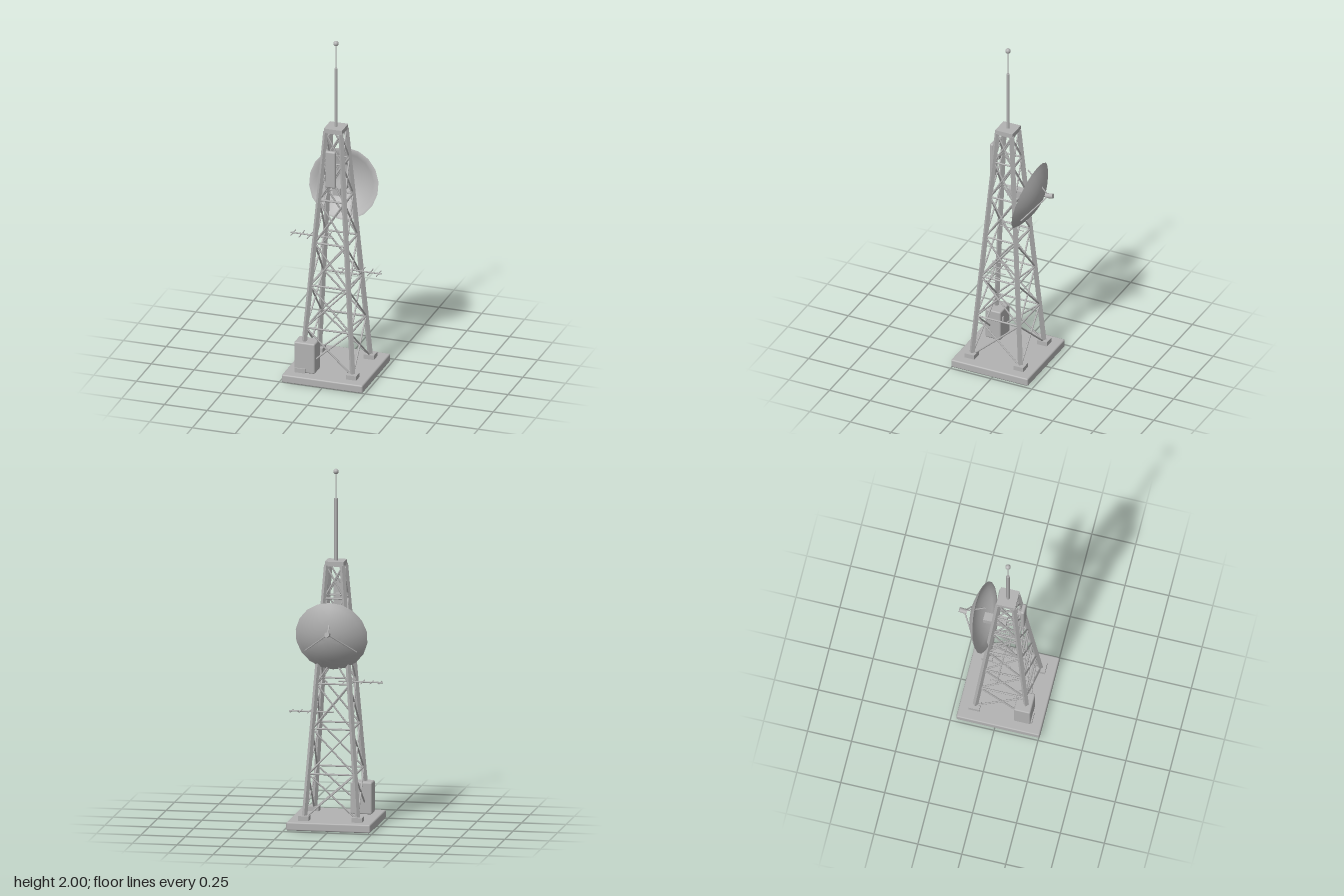
import * as THREE from 'three';
import { toCreasedNormals } from 'three/addons/utils/BufferGeometryUtils.js';
import { RoundedBoxGeometry } from 'three/addons/geometries/RoundedBoxGeometry.js';

const steel = new THREE.MeshStandardMaterial({ color: 0xb2b2b2 });
steel.name = 'grey steel';
const UP = new THREE.Vector3(0, 1, 0);

function add(parent, name, geometry, x = 0, y = 0, z = 0) {
  const mesh = new THREE.Mesh(geometry, steel);
  mesh.name = name;
  mesh.position.set(x, y, z);
  parent.add(mesh);
  return mesh;
}

// Straight bar between two points
function bar(parent, name, a, b, radius, sides = 6) {
  const from = new THREE.Vector3(...a);
  const dir = new THREE.Vector3(...b).sub(from);
  const length = dir.length();
  let geometry = new THREE.CylinderGeometry(radius, radius, length, sides);
  if (sides < 6) geometry = toCreasedNormals(geometry, 0.5);
  const mesh = add(parent, name, geometry);
  mesh.position.copy(from).addScaledVector(dir, 0.5);
  mesh.quaternion.setFromUnitVectors(UP, dir.normalize());
  return mesh;
}

export function createModel() {
  const model = new THREE.Group();
  model.name = 'radioTower';

  // Everything on the tower axis is placed relative to this group
  const tower = new THREE.Group();
  tower.name = 'tower';
  tower.position.z = 0.018;
  model.add(tower);

  add(tower, 'baseSlab', new RoundedBoxGeometry(0.474, 0.047, 0.474, 1, 0.008), 0, 0.0235, 0);

  // Tapering legs on square feet
  const bottom = 0.05, top = 1.465;
  const half = (y) => 0.15 - 0.106 * (y - bottom) / (top - bottom);
  const corners = [[1, 1], [1, -1], [-1, -1], [-1, 1]];
  const at = ([sx, sz], y) => [sx * half(y), y, sz * half(y)];
  for (const c of corners) {
    bar(tower, 'leg', at(c, bottom), at(c, top), 0.0155, 4);
    add(tower, 'foot', new THREE.BoxGeometry(0.06, 0.026, 0.06), c[0] * 0.15, 0.06, c[1] * 0.15);
  }

  // Horizontal rings and crossed braces on each face
  const levels = [0.055, 0.304, 0.555, 0.806, 1.06, 1.28, 1.46];
  for (let i = 0; i < levels.length - 1; i++) {
    const lo = levels[i], hi = levels[i + 1];
    corners.forEach((c, k) => {
      const d = corners[(k + 1) % 4];
      bar(tower, 'brace', at(c, lo), at(d, hi), 0.005);
      bar(tower, 'brace', at(d, lo), at(c, hi), 0.005);
      if (i > 0) bar(tower, 'ringBar', at(c, lo), at(d, lo), 0.0055);
    });
  }

  // Cap and mast
  add(tower, 'topPlate', new THREE.BoxGeometry(0.106, 0.027, 0.106), 0, 1.472, 0);
  bar(tower, 'mast', [0, 1.48, 0], [0, 1.835, 0], 0.01, 8);
  bar(tower, 'whip', [0, 1.83, 0], [0, 1.98, 0], 0.004, 6);
  add(tower, 'mastBall', new THREE.SphereGeometry(0.015, 14, 10), 0, 1.985, 0);

  // Two comb aerials, one on each side
  for (const [side, y] of [[-1, 0.806], [1, 0.63]]) {
    const aerial = new THREE.Group();
    aerial.name = side > 0 ? 'leftAerial' : 'rightAerial';
    tower.add(aerial);
    bar(aerial, 'boom', [side * 0.015, y, 0], [side * 0.264, y, 0], 0.0045);
    for (let i = 0; i < 5; i++) {
      const x = side * (0.05 + 0.05 * i), h = 0.073 - 0.008 * i;
      bar(aerial, 'element', [x, y, -h], [x, y, h], 0.003);
    }
  }

  // Equipment cabinet with a small knob on its rear face
  add(model, 'cabinet', new RoundedBoxGeometry(0.122, 0.18, 0.095, 1, 0.008), -0.126, 0.136, 0.143);
  add(model, 'cabinetKnob', new THREE.BoxGeometry(0.012, 0.024, 0.012), -0.09, 0.177, 0.093);

  // Flat panel antenna on the front face
  add(model, 'panelAntenna', new RoundedBoxGeometry(0.06, 0.22, 0.023, 2, 0.009), 0, 1.26, 0.106);
  add(model, 'panelBracket', new THREE.BoxGeometry(0.024, 0.02, 0.035), 0, 1.28, 0.085);

  // Dish: thick bowl tilted back, hollow side to the front
  const depth = 0.072, radius = 0.203, profile = [];
  for (let i = 0; i <= 8; i++) {
    const t = i / 8;
    profile.push(new THREE.Vector2(radius * t, depth * (t * t - 1)));
  }
  for (let i = 8; i >= 0; i--) {
    const t = i / 8;
    profile.push(new THREE.Vector2(0.191 * t, depth * (t * t - 1) + 0.008 * (1 - t)));
  }
  const bowl = add(model, 'dish', toCreasedNormals(new THREE.LatheGeometry(profile, 18), 0.6), 0, 1.083, -0.114);
  bowl.rotation.x = Math.PI / 2 - 0.255;
  add(model, 'dishMount', new THREE.BoxGeometry(0.048, 0.044, 0.13), 0, 1.084, -0.053);

  // Feed behind the dish, held by three struts
  bar(model, 'feed', [0, 1.109, -0.216], [0, 1.117, -0.259], 0.014, 10);
  for (const end of [[0, 1.245, -0.105], [0.145, 1.0, -0.13], [-0.145, 1.0, -0.13]]) {
    bar(model, 'feedStrut', [0, 1.113, -0.232], end, 0.004);
  }
  return model;
}
